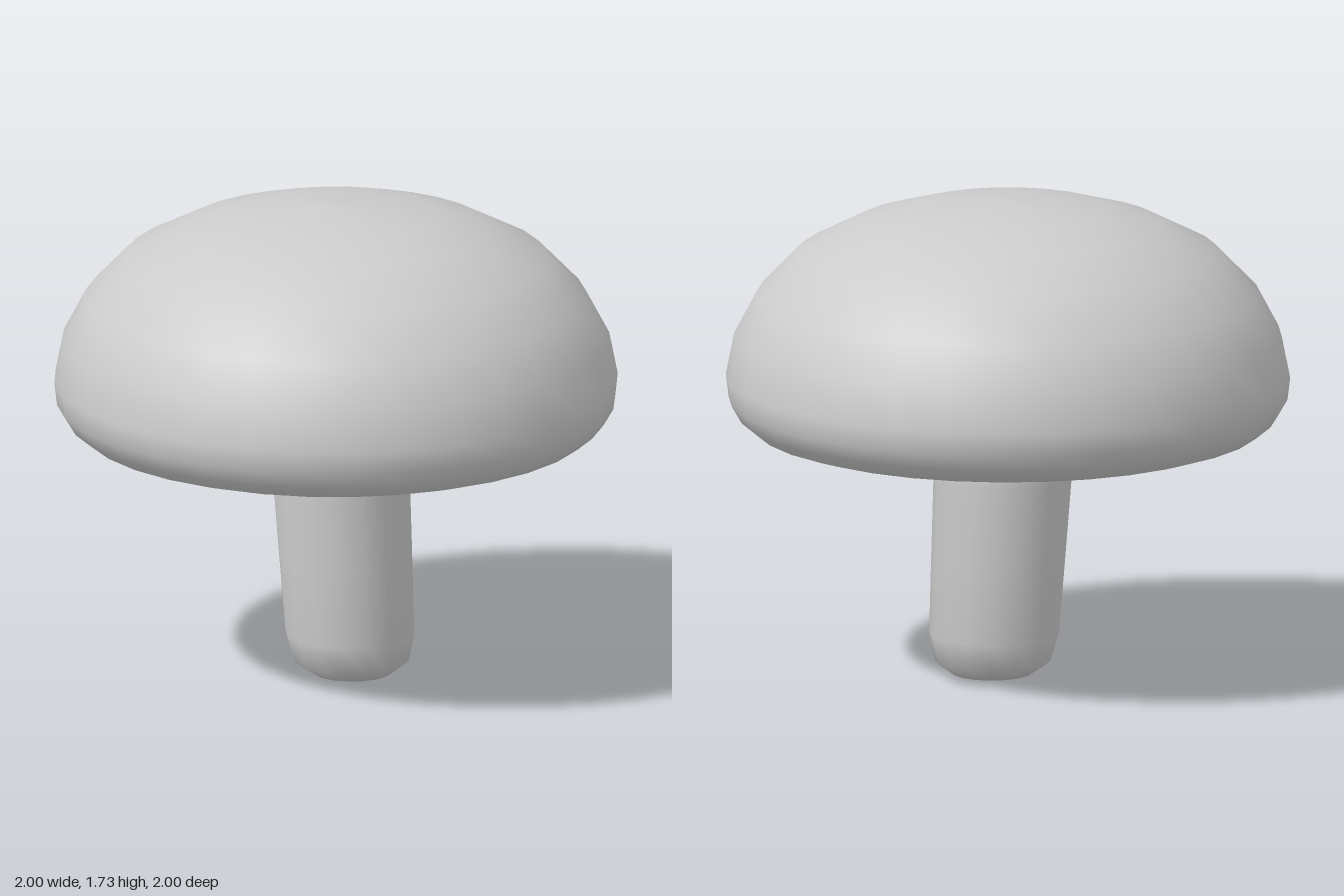
import * as THREE from 'three';

const material = new THREE.MeshStandardMaterial({ color: 0xcccccc });

// Smooth surface of revolution from [radius, height] points, bottom to top
function lathe(name, points, segments) {
  const profile = points.map(([r, y]) => new THREE.Vector2(r, y));
  const mesh = new THREE.Mesh(new THREE.LatheGeometry(profile, segments), material);
  mesh.name = name;
  return mesh;
}

export function createModel() {
  const group = new THREE.Group();
  group.name = 'mushroom';

  // Domed cap with a rounded rim and slightly hollow underside
  group.add(lathe('cap', [
    [0, 0.925], [0.3, 0.915], [0.6, 0.9], [0.82, 0.88], [0.9, 0.905], [0.955, 0.95],
    [0.99, 1.01], [1, 1.09], [0.97, 1.24], [0.89, 1.39], [0.745, 1.54],
    [0.55, 1.64], [0.36, 1.695], [0.18, 1.717], [0, 1.73],
  ], 32));

  // Stem with a rounded foot, leaning toward +x at the bottom
  const stem = lathe('stem', [
    [0, 0], [0.14, 0.015], [0.205, 0.06], [0.23, 0.16],
    [0.238, 0.45], [0.245, 0.73], [0.245, 0.94], [0, 0.96],
  ], 16);
  const pos = stem.geometry.attributes.position;
  for (let i = 0; i < pos.count; i++) {
    const y = pos.getY(i);
    pos.setX(i, pos.getX(i) + 0.058 * (1 - y / 1.08));
  }
  group.add(stem);

  return group;
}
